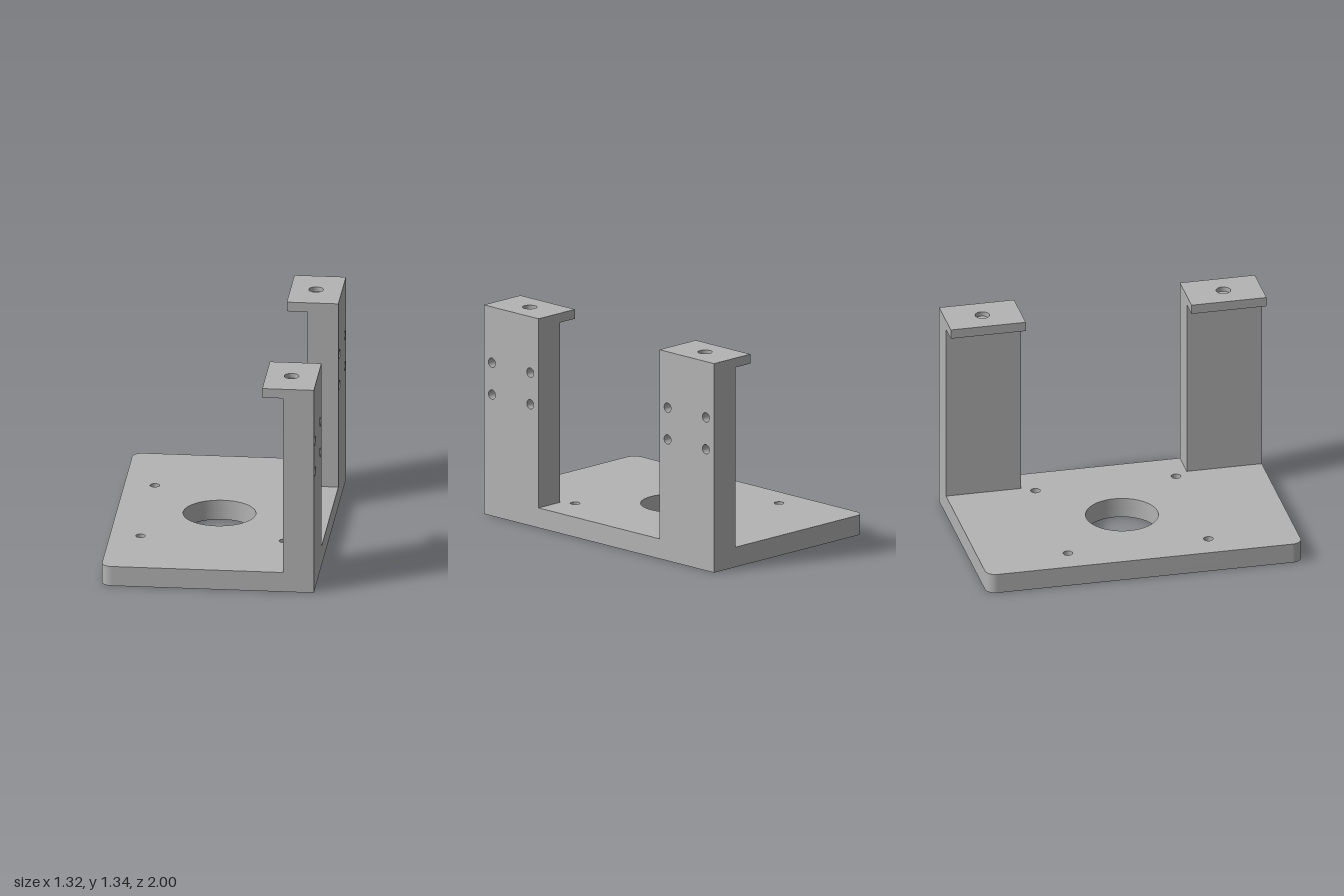
import * as THREE from 'three';
import { toCreasedNormals } from 'three/addons/utils/BufferGeometryUtils.js';

const grey = new THREE.MeshStandardMaterial({ color: 0xb3b3b3 });
grey.name = 'grey';

// Rectangle with optional rounded corners on its low-x side and round holes [x, y, r]
function plate(x0, x1, y0, y1, holes = [], r = 0) {
  const s = new THREE.Shape();
  s.moveTo(x1, y0);
  s.lineTo(x1, y1);
  if (r) {
    s.lineTo(x0 + r, y1);
    s.absarc(x0 + r, y1 - r, r, Math.PI / 2, Math.PI, false);
    s.absarc(x0 + r, y0 + r, r, Math.PI, Math.PI * 1.5, false);
  } else {
    s.lineTo(x0, y1);
    s.lineTo(x0, y0);
  }
  s.closePath();
  for (const [x, y, rad] of holes) {
    s.holes.push(new THREE.Path().absarc(x, y, rad, 0, Math.PI * 2, true));
  }
  return s;
}

function extrude(shape, depth) {
  return new THREE.ExtrudeGeometry(shape, { depth, bevelEnabled: false, curveSegments: 24 });
}

function add(group, name, geometry) {
  const mesh = new THREE.Mesh(toCreasedNormals(geometry, 0.6), grey);
  mesh.name = name;
  group.add(mesh);
}

// Horizontal slab: shape in x and -z, thickness upwards from y
const slab = (shape, y, h) => extrude(shape, h).rotateX(-Math.PI / 2).translate(0, y, 0);
// Upright slab: shape in -z and y, thickness towards +x
const wall = (shape, x, w) => extrude(shape, w).rotateY(Math.PI / 2).translate(x, 0, 0);

export function createModel() {
  const model = new THREE.Group();
  model.name = 'mountingBracket';

  const baseTop = 0.127, baseFloor = 0.05;
  const top = 1.335, capFloor = 1.305, lipBottom = 1.275;
  const bore = [-0.025, 0, 0.225];

  // Base plate: solid lower layer, upper layer carrying the blind screw holes
  const screws = [];
  for (const x of [-0.47, 0.42]) for (const z of [-0.445, 0.445]) screws.push([x, z, 0.03]);
  add(model, 'baseLower', slab(plate(-0.66, 0.66, -1, 1, [bore], 0.065), 0, baseFloor));
  add(model, 'baseUpper', slab(plate(-0.66, 0.66, -1, 1, [bore, ...screws], 0.065), baseFloor, baseTop - baseFloor));

  // Two mirrored uprights with an inward lip
  for (const side of [-1, 1]) {
    const upright = new THREE.Group();
    upright.name = side > 0 ? 'frontUpright' : 'backUpright';
    const a = side > 0 ? -1 : 0.525;
    const b = side > 0 ? -0.525 : 1;

    // Column core and lip
    const core = new THREE.Shape([
      [0.47, baseTop], [0.56, baseTop], [0.56, capFloor],
      [0.34, capFloor], [0.34, lipBottom], [0.47, lipBottom],
    ].map(([x, y]) => new THREE.Vector2(x, y)));
    add(upright, 'columnAndLip', extrude(core, 0.475).translate(0, 0, side > 0 ? 0.525 : -1));

    // Outer face with four blind holes
    const holes = [];
    for (const u of [0.597, 0.93]) for (const y of [0.775, 0.978]) holes.push([-side * u, y, 0.03]);
    add(upright, 'drilledFace', wall(plate(a, b, baseTop, capFloor, holes), 0.56, 0.1));

    // Top cap with a shallow recess
    add(upright, 'cap', slab(plate(0.34, 0.66, a, b, [[0.498, -side * 0.763, 0.045]]), capFloor, top - capFloor));
    model.add(upright);
  }
  return model;
}
